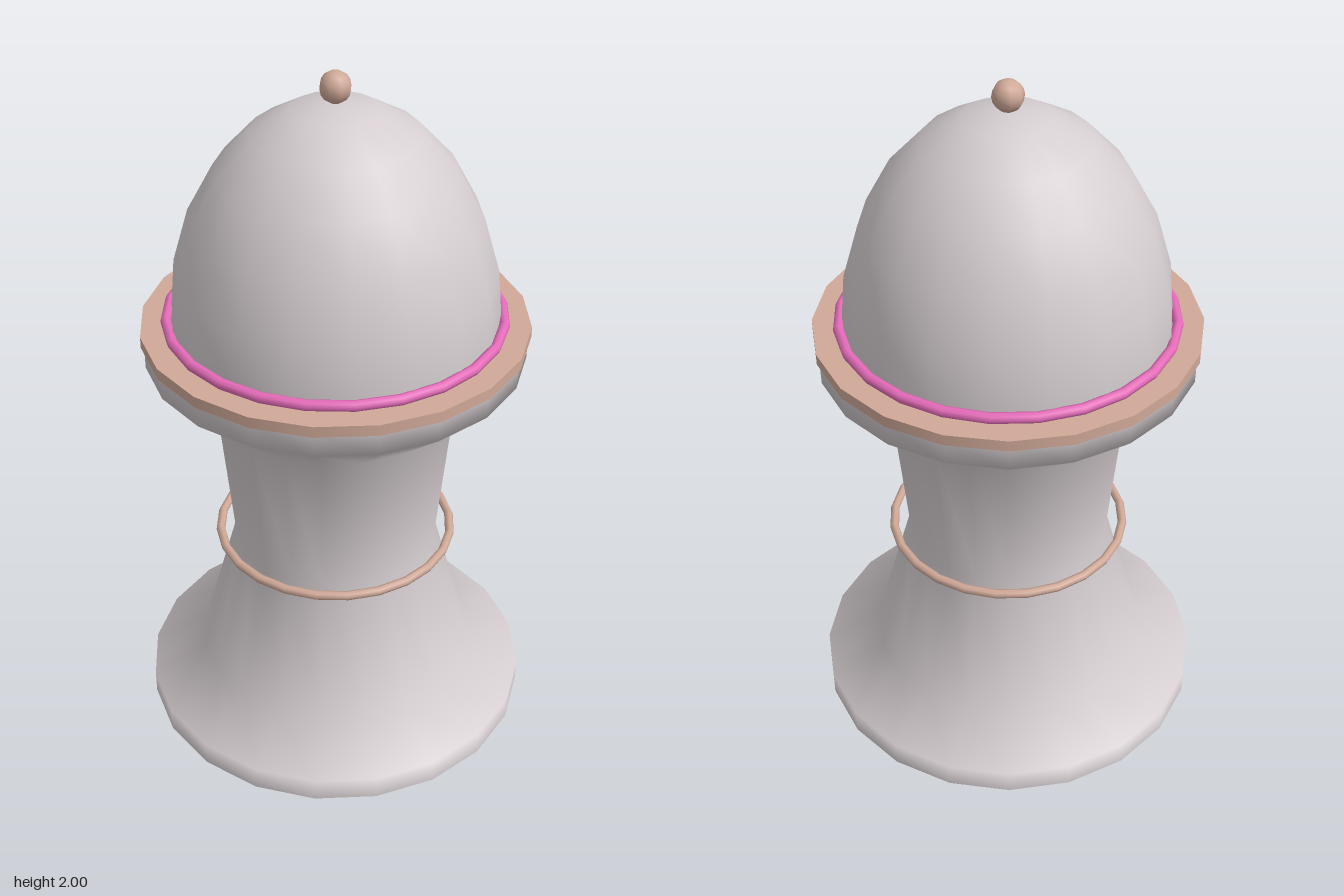
import * as THREE from 'three';

const stone = new THREE.MeshStandardMaterial({ name: 'warmGrey', color: 0xd5cdd0 });
const copper = new THREE.MeshStandardMaterial({ name: 'copper', color: 0xd0a998 });
const pink = new THREE.MeshStandardMaterial({ name: 'pink', color: 0xe66cba });

export function createModel() {
  const group = new THREE.Group();

  const add = (name, geometry, material, y = 0) => {
    const mesh = new THREE.Mesh(geometry, material);
    mesh.name = name;
    mesh.position.y = y;
    group.add(mesh);
    return mesh;
  };
  const ring = (radius, tube) => new THREE.TorusGeometry(radius, tube, 8, 24).rotateX(Math.PI / 2);

  // Turned pedestal: foot, waisted column and flared cup
  const profile = [
    [0.57, 0], [0.57, 0.07], [0.41, 0.16], [0.297, 0.57],
    [0.34, 1.03], [0.528, 1.19], [0.528, 1.26],
  ].map(([r, y]) => new THREE.Vector2(r, y));
  add('pedestal', new THREE.LatheGeometry(profile, 20), stone);
  add('underside', new THREE.CircleGeometry(0.57, 20).rotateX(Math.PI / 2), stone);

  // Ring floating round the waist
  add('waistRing', ring(0.342, 0.013), copper, 0.575);

  // Rim plate on the cup, with a coloured band round the dome
  add('rimPlate', new THREE.CylinderGeometry(0.537, 0.537, 0.032, 20), copper, 1.27);
  add('domeBand', ring(0.463, 0.015), pink, 1.3);

  // Tall dome: half a sphere stretched upwards
  const dome = new THREE.SphereGeometry(0.455, 18, 6, 0, Math.PI * 2, 0, Math.PI / 2);
  dome.scale(1, 0.64 / 0.455, 1);
  add('dome', dome, stone, 1.28);

  // Small ball on top
  add('finial', new THREE.SphereGeometry(0.043, 8, 8), copper, 1.957);

  return group;
}
